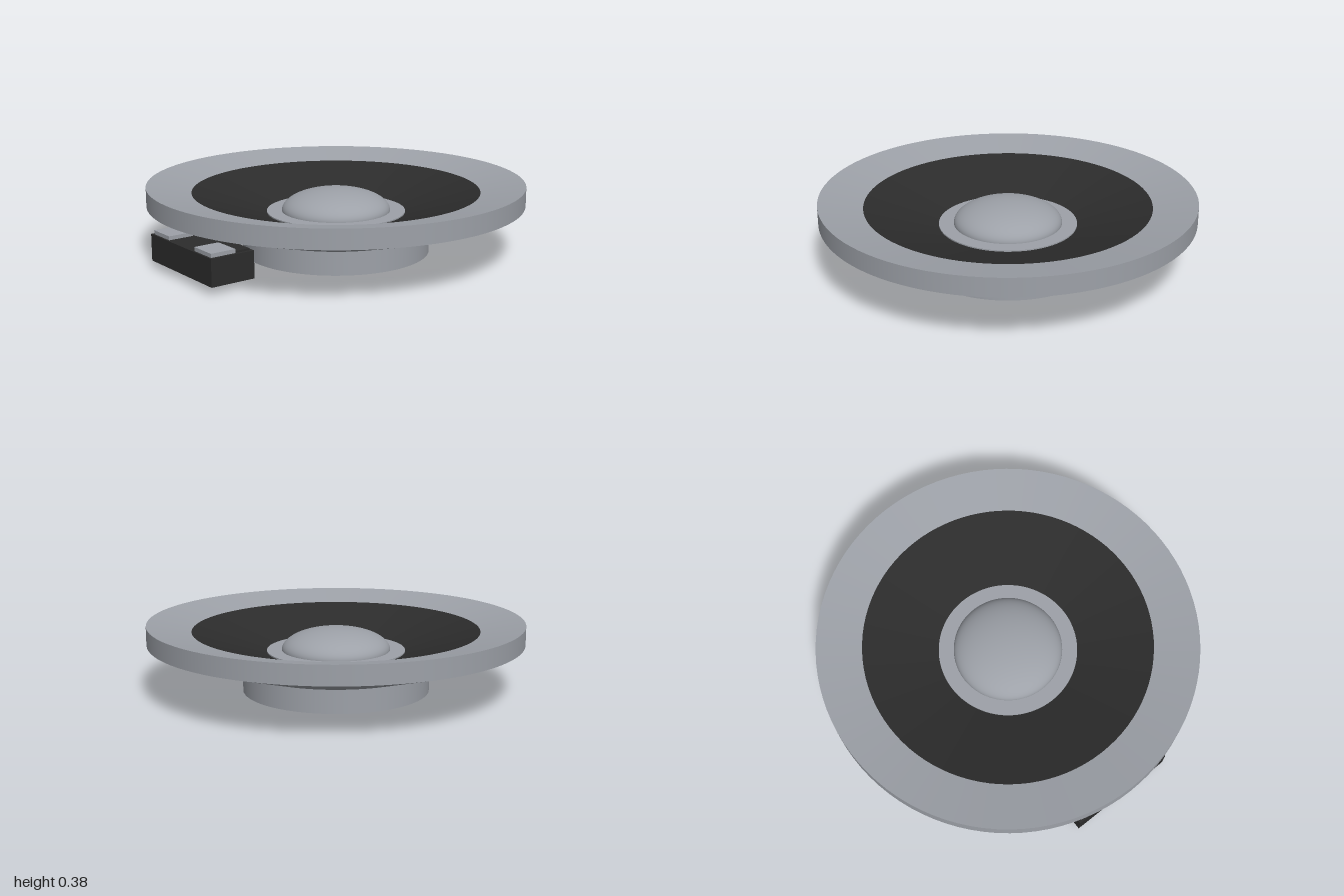
import * as THREE from 'three';
import { mergeGeometries } from 'three/addons/utils/BufferGeometryUtils.js';

const metal = new THREE.MeshStandardMaterial({ name: 'grey metal', color: 0x9da1a8 });
const black = new THREE.MeshStandardMaterial({ name: 'black cone and plastic', color: 0x2c2c2c });

// Turned part with a sharp edge at every profile point
function turned(name, profile, material) {
  const bands = [];
  for (let i = 0; i < profile.length - 1; i++) {
    const ends = [profile[i], profile[i + 1]].map(([r, y]) => new THREE.Vector2(r, y));
    bands.push(new THREE.LatheGeometry(ends, 96));
  }
  const mesh = new THREE.Mesh(mergeGeometries(bands), material);
  mesh.name = name;
  return mesh;
}

// Box given by its lower and upper corners
function block(name, [x0, y0, z0], [x1, y1, z1], material) {
  const mesh = new THREE.Mesh(new THREE.BoxGeometry(x1 - x0, y1 - y0, z1 - z0), material);
  mesh.position.set((x0 + x1) / 2, (y0 + y1) / 2, (z0 + z1) / 2);
  mesh.name = name;
  return mesh;
}

export function createModel() {
  const speaker = new THREE.Group();
  speaker.name = 'speakerDriver';

  // Magnet, basket and rim
  speaker.add(turned('magnet', [[0, 0], [0.5, 0], [0.5, 0.135]], metal));
  speaker.add(turned('basket', [[0.48, 0.135], [0.54, 0.135], [1, 0.275], [1, 0.375], [0.765, 0.33]], metal));

  // Cone, centre ring and dust cap
  speaker.add(turned('cone', [[0.77, 0.33], [0.365, 0.208]], black));
  speaker.add(turned('centreRing', [[0.37, 0.2], [0.37, 0.216], [0.27, 0.216]], metal));
  const cap = new THREE.Mesh(new THREE.SphereGeometry(0.29, 64, 20, 0, Math.PI * 2, 0, Math.PI / 2), metal);
  cap.name = 'dustCap';
  cap.scale.y = 0.4;
  cap.position.y = 0.216;
  speaker.add(cap);

  // Terminal block with a contact and clip at each end
  const terminals = new THREE.Group();
  terminals.name = 'terminalBlock';
  terminals.add(block('terminalHousing', [-0.96, 0.04, -0.285], [-0.72, 0.18, 0.285], black));
  for (const side of [-1, 1]) {
    const z0 = side * 0.195 - 0.075;
    const z1 = side * 0.195 + 0.075;
    terminals.add(block('terminalContact', [-0.95, 0.18, z0], [-0.815, 0.2, z1], metal));
    terminals.add(block('terminalClip', [-0.815, 0.18, z0], [-0.735, 0.19, z1], black));
  }
  speaker.add(terminals);
  return speaker;
}
